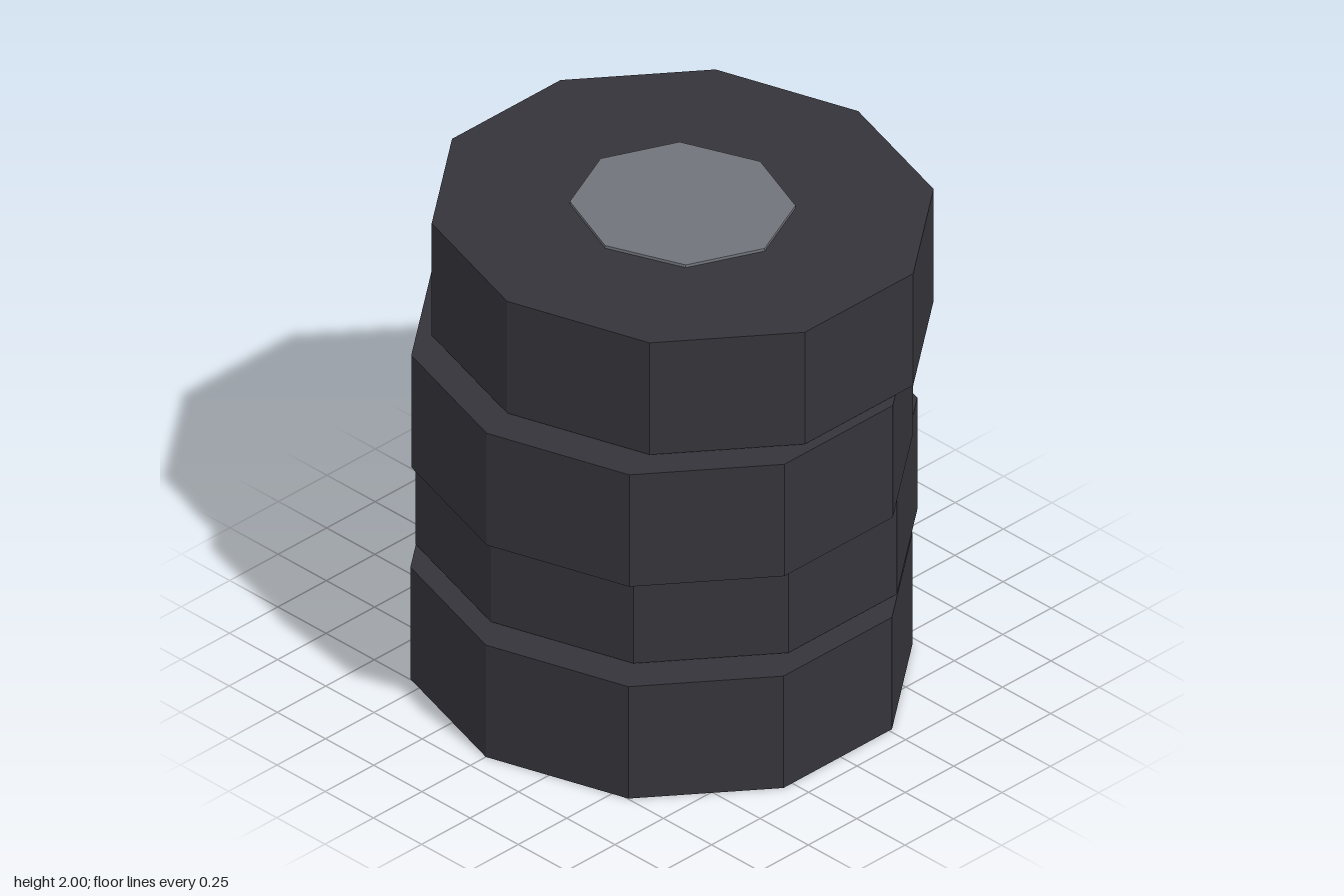
import * as THREE from 'three';

export function createModel() {
  const group = new THREE.Group();
  group.name = 'tireStack';

  const rubber = new THREE.MeshStandardMaterial({ color: 0x35343a, flatShading: true });
  rubber.name = 'darkRubber';
  const metal = new THREE.MeshStandardMaterial({ color: 0x70737a, flatShading: true });
  metal.name = 'greyHub';

  // Faceted disc standing on its base, slightly longer in z, with corners on the x axis
  const disc = (radius, height, sides) =>
    new THREE.CylinderGeometry(radius, radius, height, sides, 1, false, Math.PI / 2)
      .scale(1, 1, 1.063)
      .translate(0, height / 2, 0);

  const tireGeometry = disc(0.905, 0.488, 10);
  const hubGeometry = disc(0.4, 0.49, 8);

  // Offsets of each wheel in x and z, from the ground up
  const offsets = [[-0.015, 0], [0.095, -0.085], [-0.095, 0.085], [0.04, 0.055]];
  offsets.forEach(([x, z], i) => {
    const wheel = new THREE.Group();
    wheel.name = `wheel${i + 1}`;
    wheel.position.set(x, i * 0.5, z);

    const tire = new THREE.Mesh(tireGeometry, rubber);
    tire.name = 'tire';

    // Hub stands just proud of the tire's upper face
    const hub = new THREE.Mesh(hubGeometry, metal);
    hub.name = 'hub';
    hub.position.y = 0.01;

    wheel.add(tire, hub);
    group.add(wheel);
  });

  return group;
}
